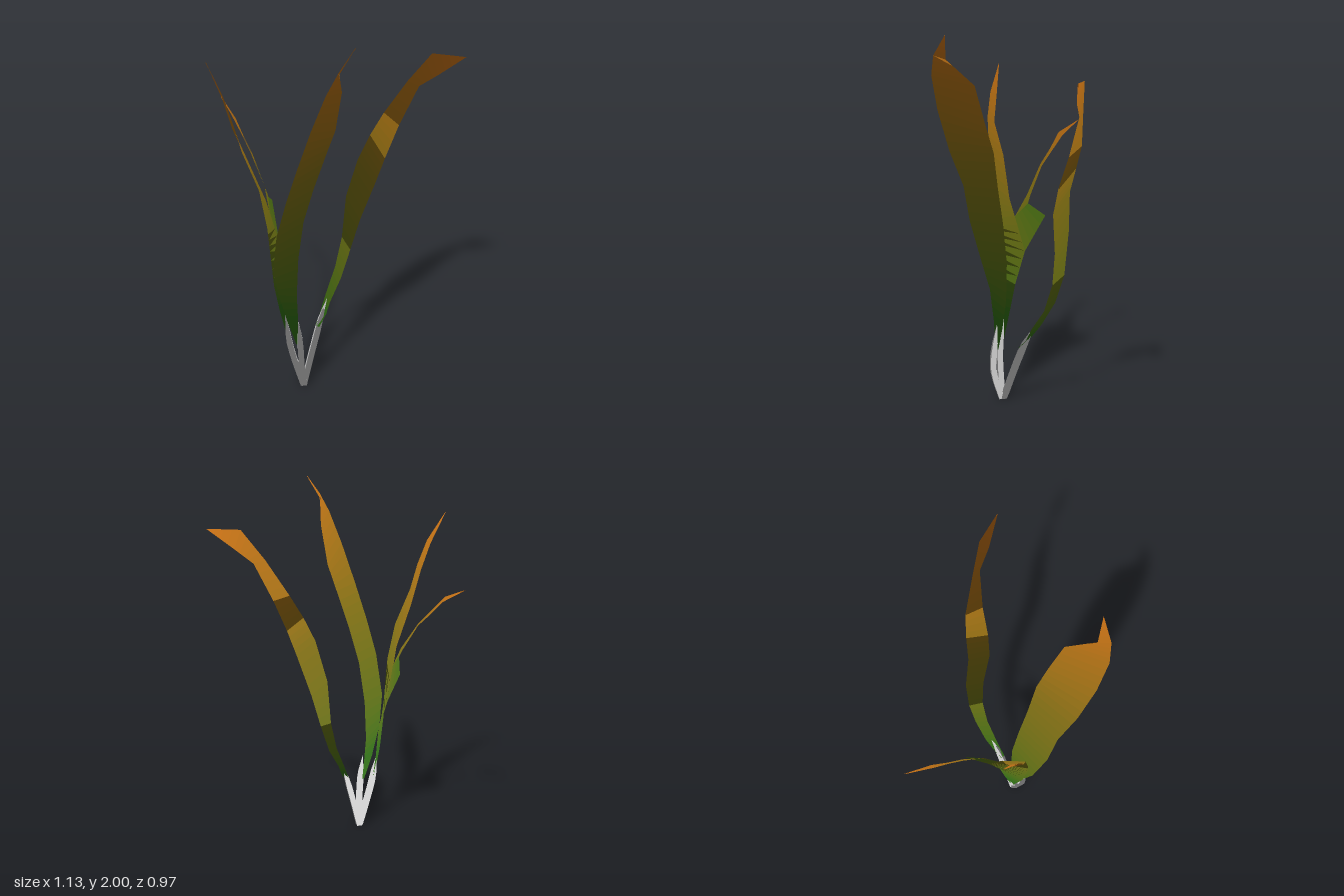
import * as THREE from 'three';

const V = (p) => new THREE.Vector3(...p);
const GREEN = new THREE.Color(0x2c6a10);
const BROWN = new THREE.Color(0x7c6a10);
const ORANGE = new THREE.Color(0xc46c12);
const SHADE = [-0.33, 0.88, -0.33]; // shared shading direction of the foliage
const STEPS = 4; // colour bands per section
const HALF = 0.0015; // half the thickness of a blade

// leaf colour from base (0) to tip (1)
function leafColor(t) {
  return t < 0.55
    ? GREEN.clone().lerp(BROWN, Math.max(0, t - 0.12) / 0.43)
    : BROWN.clone().lerp(ORANGE, (t - 0.55) / 0.45);
}

// Foliage shading: one direction for every normal, so both sides of a blade catch light from above
function setShadeNormals(geo) {
  const normals = new Float32Array(geo.attributes.position.count * 3).map((_, i) => SHADE[i % 3]);
  geo.setAttribute('normal', new THREE.BufferAttribute(normals, 3));
}

function material(color) {
  return new THREE.MeshStandardMaterial({ color, side: THREE.DoubleSide });
}

// Thin blade between two edges given as rows [edge point, edge point], shaded from t0 to t1
function ribbon(name, rows, t0 = 0, t1 = 1) {
  const pos = [], index = [], sheet = [], materials = [];
  const bands = (rows.length - 1) * STEPS;
  const back = (bands + 1) * 2; // first vertex of the second sheet
  const geo = new THREE.BufferGeometry();
  for (let i = 0; i <= bands; i++) {
    const r = Math.min(Math.floor(i / STEPS), rows.length - 2);
    const f = i / STEPS - r;
    for (const side of [0, 1]) {
      pos.push(...V(rows[r][side]).lerp(V(rows[r + 1][side]), f).toArray());
    }
    if (i === bands) break;
    const a = i * 2, b = a + back;
    const quad = [a, a + 1, a + 2, a + 1, a + 3, a + 2];
    sheet.push(...quad);
    geo.addGroup(index.length, 12, i);
    index.push(...quad, b, b + 2, b + 1, b + 1, b + 2, b + 3);
    materials.push(material(leafColor(t0 + (t1 - t0) * (i + 0.5) / bands)));
  }
  // push the two sheets apart along the blade's own normals
  geo.setAttribute('position', new THREE.Float32BufferAttribute(pos, 3));
  geo.setIndex(sheet);
  geo.computeVertexNormals();
  const n = geo.attributes.normal.array;
  const both = [...pos.map((p, i) => p + HALF * n[i]), ...pos.map((p, i) => p - HALF * n[i])];
  geo.setAttribute('position', new THREE.Float32BufferAttribute(both, 3));
  geo.setIndex(index);
  setShadeNormals(geo);
  const mesh = new THREE.Mesh(geo, materials);
  mesh.name = name;
  return mesh;
}

// Four-sided stalk along a path, narrowing to a point at the end
function stem(name, path, radius = 0.022) {
  const curve = new THREE.CatmullRomCurve3(path.map(V));
  const seg = 8, sides = 4;
  const geo = new THREE.TubeGeometry(curve, seg, radius, sides);
  const pos = geo.attributes.position, v = new THREE.Vector3();
  for (let i = 0; i < pos.count; i++) {
    const u = Math.floor(i / (sides + 1)) / seg;
    const c = curve.getPointAt(u);
    v.fromBufferAttribute(pos, i).lerp(c, Math.max(0, (u - 0.7) / 0.3));
    pos.setXYZ(i, v.x, u === 0 ? 0 : Math.max(0, v.y), v.z);
  }
  setShadeNormals(geo);
  const mesh = new THREE.Mesh(geo, material(0xcccccc));
  mesh.name = name;
  return mesh;
}

export function createModel() {
  const plant = new THREE.Group();
  plant.name = 'plant';

  // Stalks meeting at the base
  plant.add(
    stem('leftStem', [[0.11, 0, 0.235], [0.13, 0.17, 0.275], [0.115, 0.33, 0.27], [0.1, 0.43, 0.265]]),
    stem('backStem', [[0.103, 0, 0.225], [0.103, 0.12, 0.18], [0.103, 0.28, 0.115], [0.1, 0.375, 0.07], [0.096, 0.455, 0.02]]),
    stem('rightStem', [[0.105, 0, 0.235], [0.055, 0.25, 0.28], [0.03, 0.37, 0.28], [0.015, 0.45, 0.275]]),
  );

  // Broad leaf leaning left, with a hooked tip
  plant.add(ribbon('broadLeaf', [
    [[0.1, 0.28, 0.28], [0.1, 0.28, 0.26]],
    [[0.065, 0.42, 0.308], [0.08, 0.4, 0.245]],
    [[0.04, 0.6, 0.35], [0.06, 0.55, 0.232]],
    [[0.052, 0.77, 0.4], [0.064, 0.77, 0.222]],
    [[0.11, 1.0, 0.43], [0.1, 1.0, 0.22]],
    [[0.17, 1.2, 0.423], [0.16, 1.2, 0.21]],
    [[0.26, 1.4, 0.445], [0.225, 1.4, 0.19]],
    [[0.35, 1.62, 0.447], [0.285, 1.54, 0.195]],
    [[0.42, 1.8, 0.427], [0.342, 1.75, 0.22]],
    [[0.455, 1.9, 0.385], [0.42, 1.88, 0.337]],
    [[0.477, 2.0, 0.295], [0.477, 2.0, 0.295]],
  ]));

  // Arching leaf leaning back
  plant.add(ribbon('backLeaf', [
    [[0.095, 0.32, 0.115], [0.118, 0.32, 0.115]],
    [[0.082, 0.38, 0.06], [0.122, 0.38, 0.06]],
    [[0.07, 0.46, 0], [0.122, 0.44, 0.03]],
    [[0.067, 0.6, -0.085], [0.13, 0.56, -0.055]],
    [[0.067, 0.76, -0.14], [0.145, 0.72, -0.115]],
    [[0.07, 1.0, -0.167], [0.18, 0.9, -0.15]],
    [[0.12, 1.22, -0.2], [0.25, 1.12, -0.18]],
    [[0.155, 1.35, -0.255], [0.277, 1.26, -0.225]],
    [[0.2, 1.47, -0.31], [0.305, 1.43, -0.3]],
    [[0.3, 1.65, -0.37], [0.36, 1.63, -0.385]],
    [[0.4, 1.8, -0.43], [0.45, 1.7, -0.42]],
    [[0.565, 1.8, -0.487], [0.565, 1.8, -0.487]],
  ]));

  // Split leaf leaning right: main lobe, side spur and slender offshoot
  const split = new THREE.Group();
  split.name = 'splitLeaf';
  split.add(
    ribbon('mainLobe', [
      [[0.035, 0.3, 0.28], [0.035, 0.3, 0.27]],
      [[0.02, 0.48, 0.32], [0.005, 0.45, 0.25]],
      [[0.02, 0.65, 0.36], [-0.025, 0.63, 0.225]],
      [[0.02, 0.87, 0.385], [-0.09, 0.81, 0.2]],
      [[0.01, 1.0, 0.39], [-0.09, 1.0, 0.265]],
      [[-0.03, 1.2, 0.4], [-0.09, 1.1, 0.3]],
      [[-0.1, 1.4, 0.44], [-0.14, 1.33, 0.37]],
      [[-0.13, 1.54, 0.465], [-0.16, 1.51, 0.442]],
      [[-0.18, 1.675, 0.477], [-0.208, 1.66, 0.455]],
      [[-0.28, 1.83, 0.484], [-0.28, 1.83, 0.484]],
    ]),
    ribbon('sideSpur', [
      [[-0.09, 1.0, 0.265], [-0.09, 0.81, 0.2]],
      [[-0.15, 1.07, 0.217], [-0.2, 1.0, 0.133]],
    ], 0.3, 0.2),
    ribbon('offshoot', [
      [[-0.09, 1.0, 0.265], [-0.15, 1.07, 0.215]],
      [[-0.16, 1.12, 0.225], [-0.17, 1.11, 0.214]],
      [[-0.27, 1.275, 0.207], [-0.27, 1.265, 0.198]],
      [[-0.35, 1.355, 0.19], [-0.35, 1.34, 0.18]],
      [[-0.43, 1.44, 0.18], [-0.43, 1.42, 0.158]],
      [[-0.565, 1.5, 0.127], [-0.565, 1.5, 0.127]],
    ], 0.4, 1),
  );
  plant.add(split);
  return plant;
}
